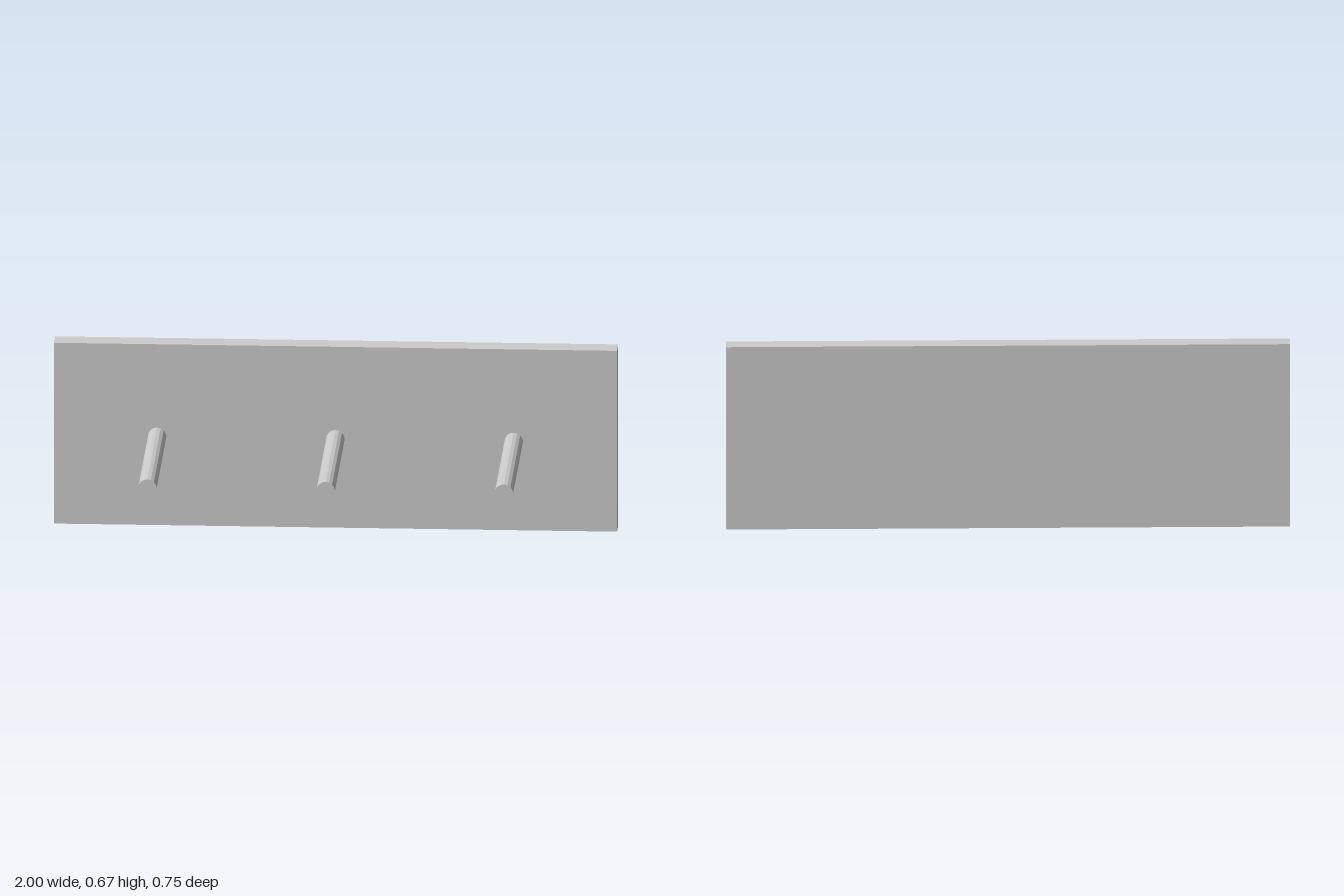
import * as THREE from 'three';

export function createModel() {
  const group = new THREE.Group();
  const material = new THREE.MeshStandardMaterial({ color: 0xcccccc, flatShading: true });

  const height = 0.667, thickness = 0.083, back = -0.375;
  const boardFront = back + thickness;
  const pegLength = 0.375 - boardFront, pegRadius = 0.033;

  // Upright back board
  const board = new THREE.Mesh(new THREE.BoxGeometry(2, height, thickness), material);
  board.name = 'backBoard';
  board.position.set(0, height / 2, back + thickness / 2);
  group.add(board);

  // Three pegs pointing forward from the board
  const pegGeometry = new THREE.CylinderGeometry(pegRadius, pegRadius, pegLength, 16);
  pegGeometry.rotateX(Math.PI / 2);
  const pegs = { rightPeg: -0.633, middlePeg: 0, leftPeg: 0.633 };
  for (const [name, x] of Object.entries(pegs)) {
    const peg = new THREE.Mesh(pegGeometry, material);
    peg.name = name;
    peg.position.set(x, 0.327, boardFront + pegLength / 2);
    group.add(peg);
  }

  return group;
}
